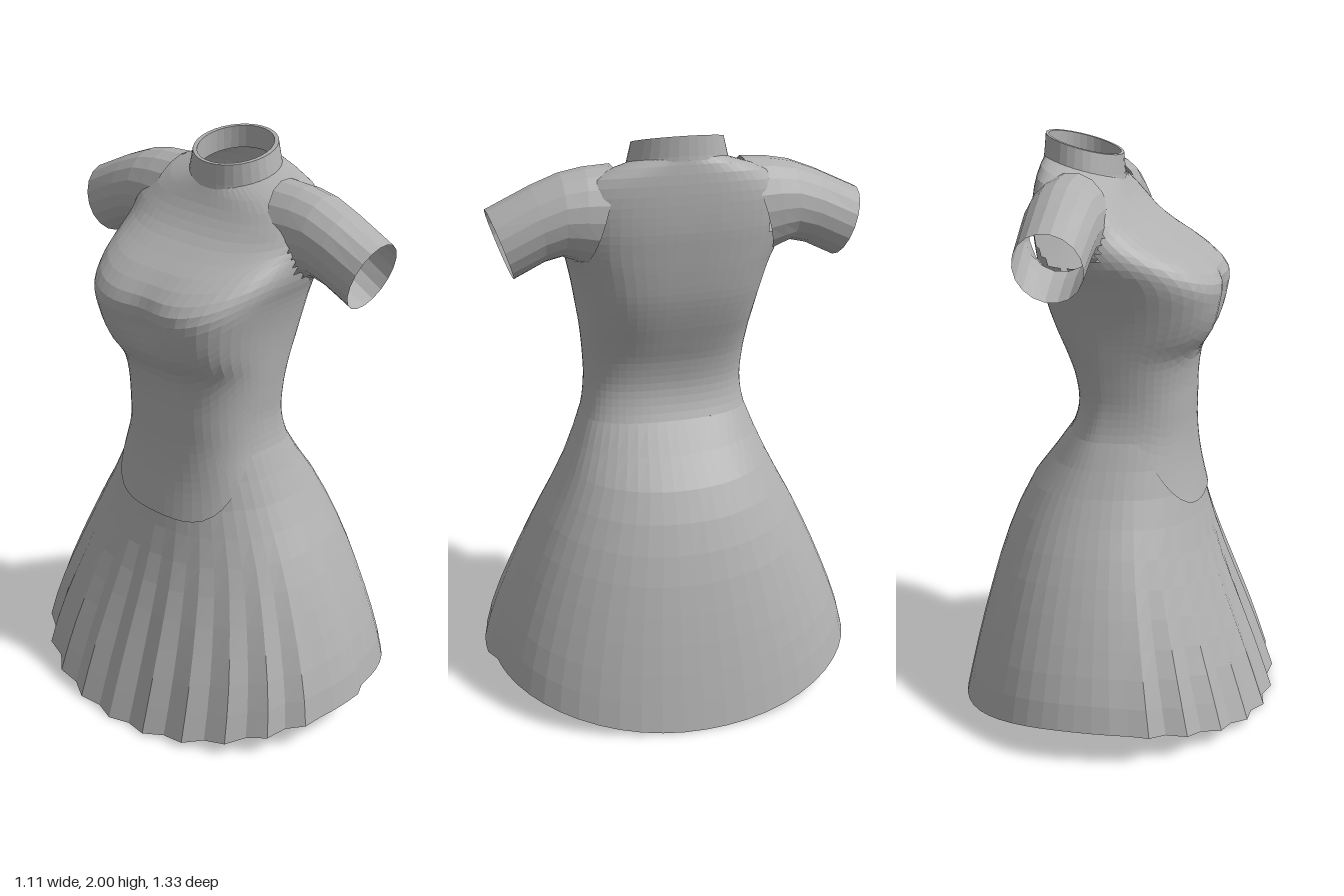
import * as THREE from 'three';

// Cross-sections: height, front x, back x, x of the widest point, half width, squareness
const SECTIONS = [
  [0.00, -0.55, 0.55, 0.03, 0.69, 2.25],
  [0.20, -0.48, 0.505, 0.03, 0.645, 2.25],
  [0.40, -0.405, 0.455, 0.03, 0.57, 2.25],
  [0.60, -0.335, 0.395, 0.03, 0.48, 2.25],
  [0.80, -0.285, 0.305, 0.03, 0.375, 2.25],
  [0.90, -0.268, 0.23, 0.02, 0.33, 2.3],
  [1.00, -0.262, 0.16, 0.01, 0.29, 2.4],
  [1.10, -0.265, 0.13, 0.0, 0.275, 2.5],
  [1.20, -0.27, 0.142, 0.0, 0.28, 2.5],
  [1.28, -0.285, 0.17, 0.0, 0.288, 2.6],
  [1.36, -0.335, 0.2, 0.0, 0.297, 2.9],
  [1.45, -0.362, 0.228, 0.0, 0.312, 3.1],
  [1.54, -0.362, 0.245, 0.01, 0.335, 3.1],
  [1.61, -0.29, 0.255, 0.04, 0.36, 2.9],
  [1.70, -0.145, 0.265, 0.09, 0.37, 2.7],
  [1.80, -0.065, 0.265, 0.11, 0.355, 2.6],
  [1.86, -0.03, 0.258, 0.115, 0.285, 2.4],
  [1.90, -0.005, 0.25, 0.12, 0.165, 2.0],
];
const sections = new THREE.CubicInterpolant(
  SECTIONS.map((s) => s[0]), SECTIONS.flatMap((s) => s.slice(1)), 5);
const smooth = THREE.MathUtils.smoothstep;
const lerp = THREE.MathUtils.lerp;

// Indexed grid surface from a point rule; skip(point) leaves holes
function grid(cols, rows, rule, skip) {
  const pos = [], index = [];
  for (let j = 0; j <= rows; j++)
    for (let i = 0; i <= cols; i++) pos.push(...rule(i / cols, j / rows));
  for (let j = 0; j < rows; j++)
    for (let i = 0; i < cols; i++) {
      const a = j * (cols + 1) + i, b = a + 1, d = a + cols + 1, c = d + 1;
      const mid = [0, 1, 2].map((k) => (pos[a * 3 + k] + pos[c * 3 + k]) / 2);
      if (!skip || !skip(mid)) index.push(a, b, c, a, c, d);
    }
  const g = new THREE.BufferGeometry();
  g.setAttribute('position', new THREE.Float32BufferAttribute(pos, 3));
  g.setIndex(index);
  g.computeVertexNormals();
  return g;
}

// Point on the dress at an angle (0 = chest, toward -x) and height
function bodyPoint(angle, y, grow = 0) {
  const [xf, xb, xm, zh, n] = sections.evaluate(y);
  const c = Math.cos(angle), s = Math.sin(angle);
  const r = Math.pow(Math.abs(c) ** n + Math.abs(s) ** n, -1 / n);
  let x = xm - c * r * (c > 0 ? xm - xf + grow : xb - xm);
  const z = s * r * (zh + grow) - 0.015 * smooth(y, 1, 1.6);
  // hollow between the two bust lobes
  if (c > 0) x += 0.025 * Math.exp(-((z / 0.08) ** 2) - ((y - 1.47) / 0.11) ** 2);
  // neckline tilts forward
  return [x, y + 0.27 * smooth(y, 1.68, 1.9) * (x - 0.12), z];
}

export function createModel() {
  const cloth = new THREE.MeshStandardMaterial({
    color: 0xb0b0b0, side: THREE.DoubleSide, flatShading: true });
  cloth.name = 'grey cloth';
  const model = new THREE.Group();
  model.name = 'dress';
  const add = (name, geometry) => {
    const mesh = new THREE.Mesh(geometry, cloth);
    mesh.name = name;
    model.add(mesh);
  };

  // Skirt: hem rises at the sides, pleats across the front
  add('skirt', grid(56, 10, (u, v) => {
    const a = u * Math.PI * 2, front = Math.cos(a);
    const hem = 0.115 * (1 - Math.abs(front) ** 2.3);
    const y = lerp(hem, 1.0, v);
    const pleat = front > 0.35 ? (Math.round(u * 56) % 2 ? -1 : 1) * 0.011 * (1 - smooth(y, 0.1, 0.8)) : 0;
    const p = bodyPoint(a, y, pleat);
    // side seam: back panel sits slightly inside the front panel
    if (Math.sin(a) > 0 && front < -0.01) p[2] *= 1 - 0.035 * (1 - v);
    return p;
  }));

  // Bodice: lower edge dips to a point over the front of the skirt
  const inArmhole = ([x, y, z]) => Math.abs(z) > 0.2 &&
    ((x - 0.11) / 0.115) ** 2 + ((y - 1.71) / 0.115) ** 2 < 1;
  add('bodice', grid(64, 34, (u, v) => {
    const a = u * Math.PI * 2;
    const front = smooth(Math.cos(a), 0.35, 1);
    return bodyPoint(a, lerp(1.0 - 0.25 * front, 1.9, v), 0.01 * front * (1 - smooth(v, 0, 0.4)));
  }, inArmhole));

  // Sleeves: rings of centre z, centre y, lean in z, half height, centre x, half depth
  const RINGS = [
    [0.27, 1.735, -0.05, 0.16, 0.115, 0.135],
    [0.33, 1.74, -0.02, 0.15, 0.115, 0.13],
    [0.39, 1.74, 0.0, 0.135, 0.113, 0.125],
    [0.465, 1.715, 0.018, 0.124, 0.11, 0.12],
    [0.59, 1.655, 0.04, 0.115, 0.108, 0.113],
  ];
  for (const side of [1, -1]) {
    add(side > 0 ? 'leftSleeve' : 'rightSleeve', grid(18, RINGS.length - 1, (u, v) => {
      const [z, y, lean, ry, x, rx] = RINGS[Math.round(v * (RINGS.length - 1))];
      const a = side * u * Math.PI * 2;
      return [x + rx * Math.cos(a), y + ry * Math.sin(a),
        side * (z + lean * Math.sin(a)) - 0.015];
    }));
  }

  // Collar: tapered tilted band folded over to an inner face (half depth, half width, height)
  const BAND = [[0.137, 0.175, -0.015], [0.135, 0.168, 0.0], [0.13, 0.152, 0.065],
    [0.12, 0.135, 0.065], [0.12, 0.135, -0.01]];
  add('collar', grid(32, BAND.length - 1, (u, v) => {
    const [rx, rz, h] = BAND[Math.round(v * (BAND.length - 1))];
    const a = u * Math.PI * 2, x = 0.12 - rx * Math.cos(a);
    return [x, 1.9 + h + 0.27 * (x - 0.12), rz * Math.sin(a) - 0.015];
  }));

  return model;
}
